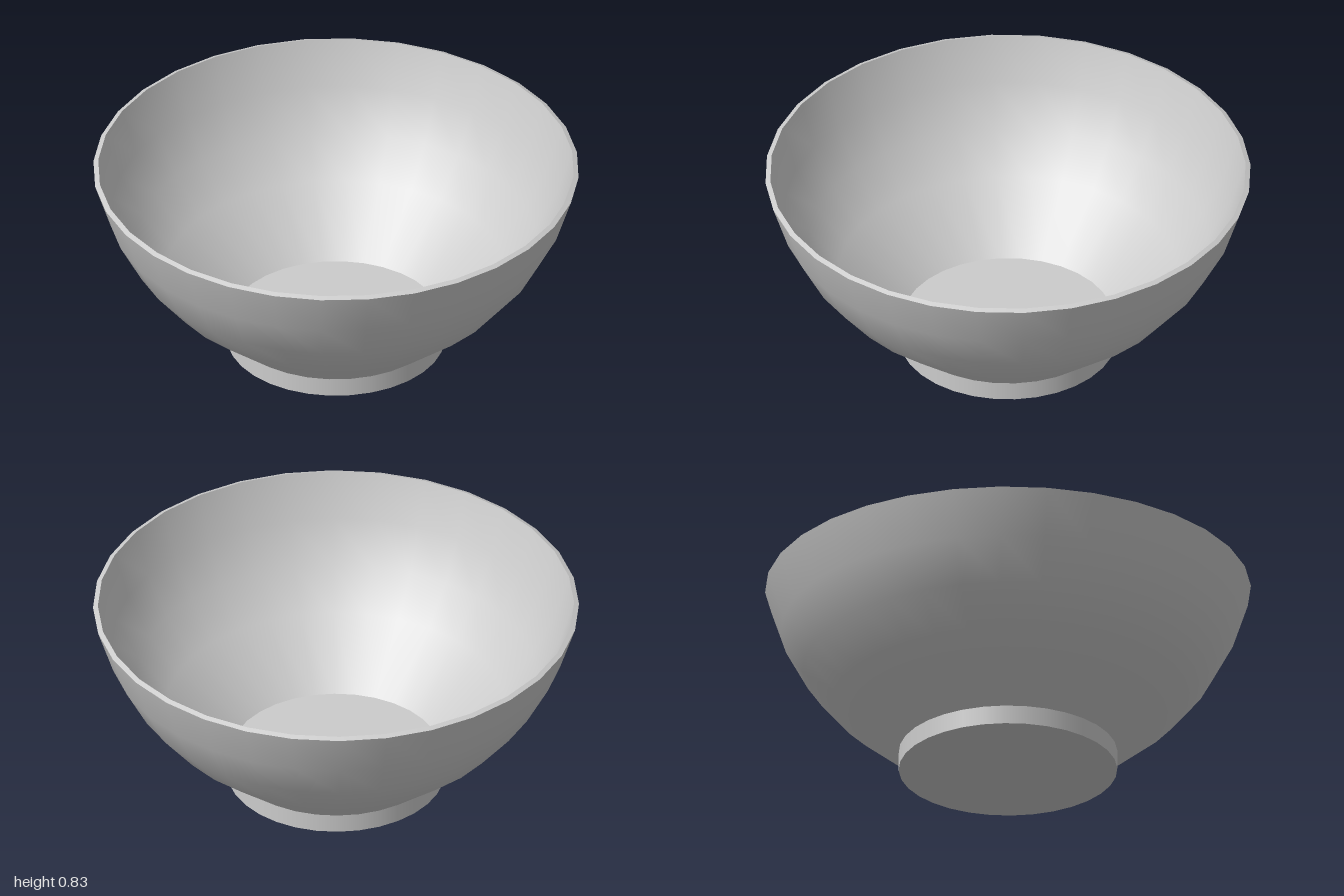
import * as THREE from 'three';

const SIDES = 32;
const material = new THREE.MeshStandardMaterial({ color: 0xcccccc });

// Turn a profile of [radius, height] pairs around the y axis
function turned(name, profile) {
  const points = profile.map(([r, y]) => new THREE.Vector2(r, y));
  const mesh = new THREE.Mesh(new THREE.LatheGeometry(points, SIDES), material);
  mesh.name = name;
  return mesh;
}

export function createModel() {
  const model = new THREE.Group();
  model.name = 'bowl';

  // Wall profiles: the outside runs up, the inside runs down
  const outer = [[0.45, 0.08], [0.717, 0.3], [0.845, 0.455], [0.937, 0.627], [1, 0.818]];
  const inner = [[0.98, 0.826], [0.92, 0.635], [0.828, 0.465], [0.702, 0.312], [0.435, 0.09]];

  // Separate strips keep the rim and floor edges sharp
  model.add(turned('outerWall', outer));
  model.add(turned('rim', [outer.at(-1), inner[0]]));
  model.add(turned('innerWall', inner));
  model.add(turned('floor', [inner.at(-1), [0, 0.09]]));

  // Solid foot under the bowl
  const foot = new THREE.Mesh(new THREE.CylinderGeometry(0.45, 0.45, 0.08, SIDES), material);
  foot.name = 'foot';
  foot.position.y = 0.04;
  model.add(foot);

  return model;
}
